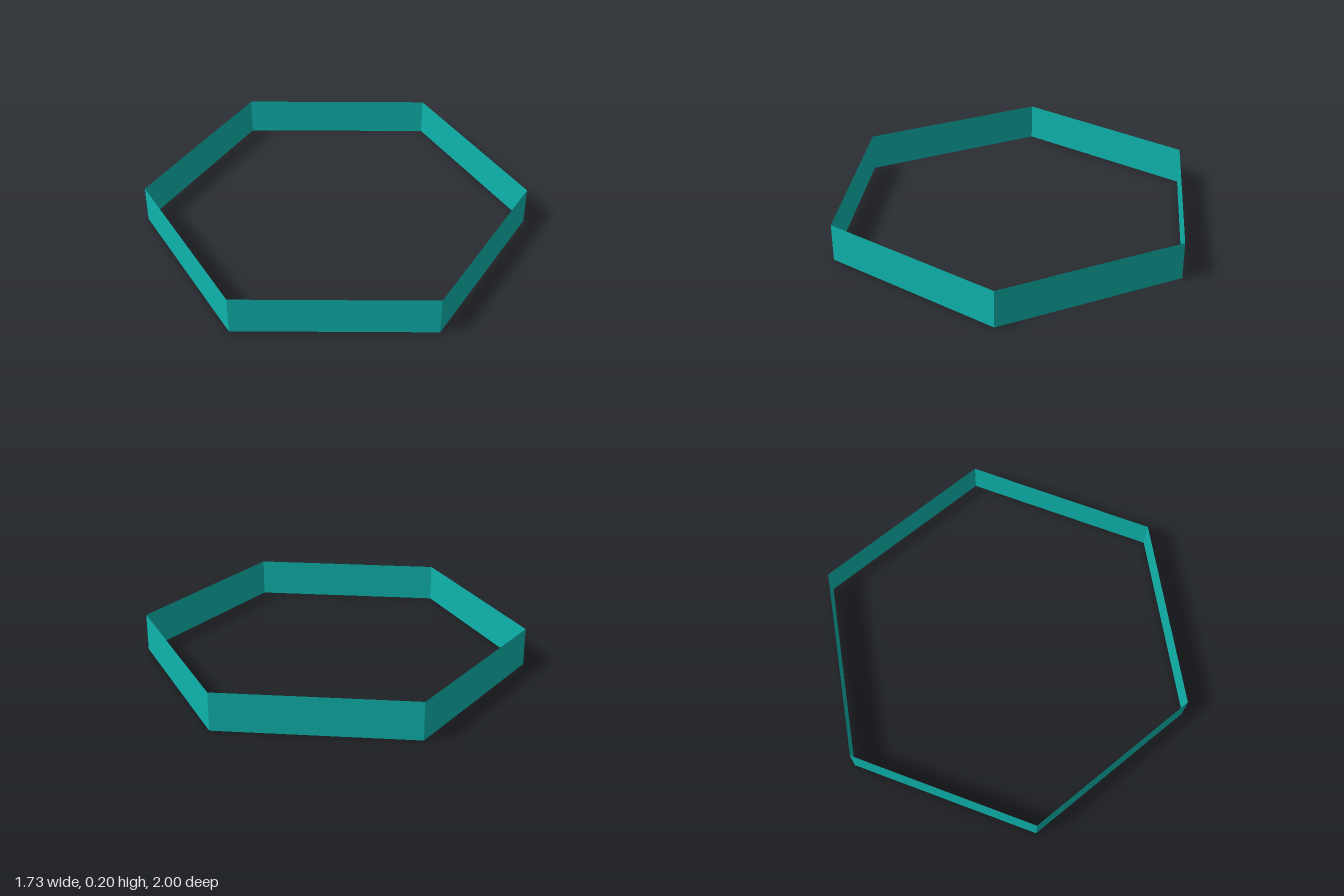
import * as THREE from 'three';

export function createModel() {
  const model = new THREE.Group();
  model.name = 'hexagonalRing';

  // Open six-sided band with corners pointing front and back
  const height = 0.2;
  const geometry = new THREE.CylinderGeometry(1, 1, height, 6, 1, true);
  geometry.translate(0, height / 2, 0);

  const material = new THREE.MeshStandardMaterial({
    color: 0x0fb5ae,
    flatShading: true,
    side: THREE.DoubleSide,
  });

  const band = new THREE.Mesh(geometry, material);
  band.name = 'band';
  model.add(band);
  return model;
}
